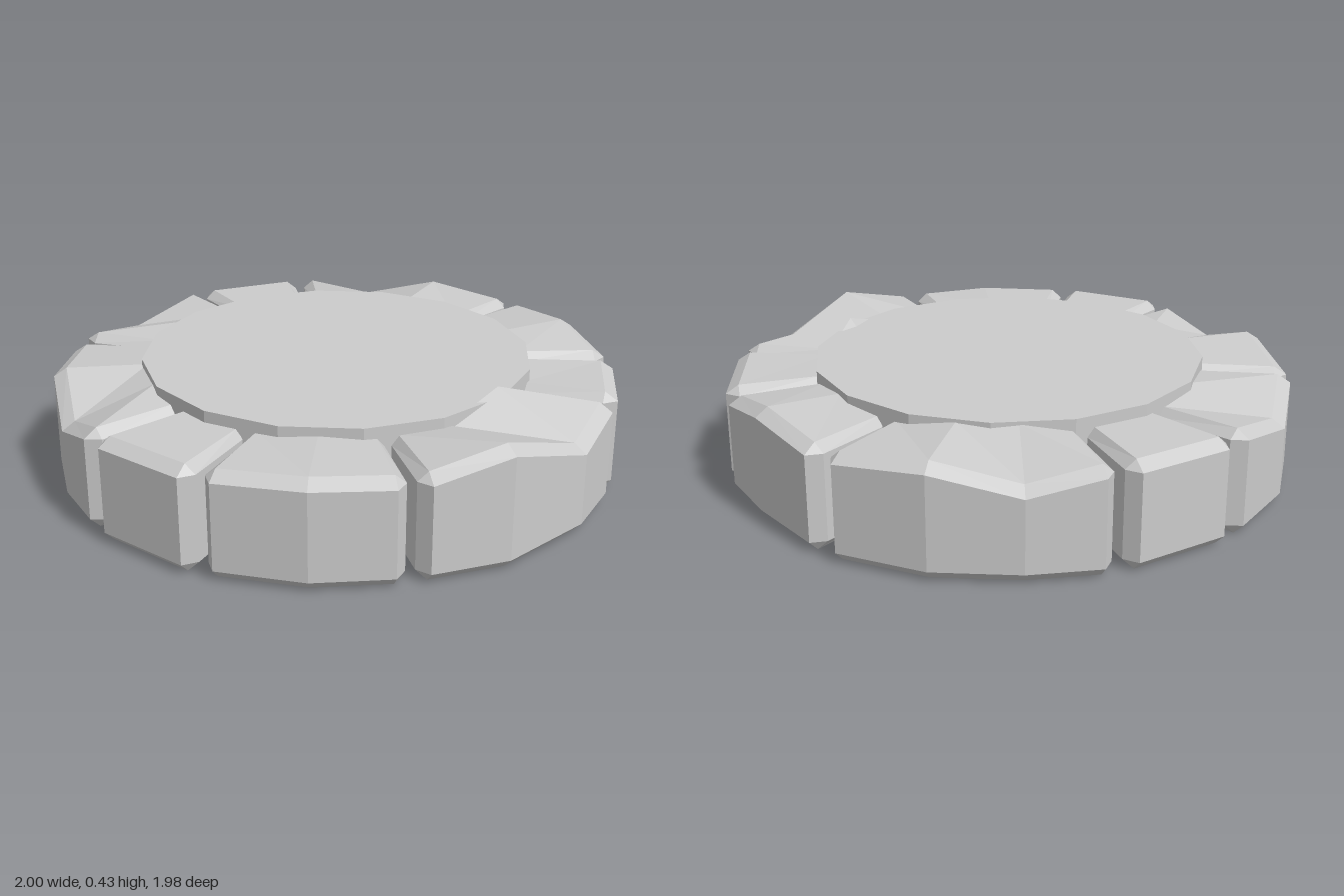
import * as THREE from 'three';

const material = new THREE.MeshStandardMaterial({ color: 0xcccccc, flatShading: true });
const INNER = 0.64, BEVEL = 0.035;

// Bevelled cross-section of a stone as [radius, height] pairs
function section([, outer, yOut, yIn]) {
  return [
    [INNER + BEVEL, 0], [outer - BEVEL, 0],
    [outer, BEVEL], [outer, yOut],
    [outer - 0.045, yOut + 0.03], [INNER + 0.025, yIn],
    [INNER, yIn - 0.03], [INNER, BEVEL],
  ];
}

// Smaller cross-section for the end faces; paired points form the corner bevels
function endSection([, outer, yOut, yIn]) {
  const a = INNER + BEVEL, b = outer - BEVEL - 0.01;
  const corners = [[b, BEVEL], [b, yOut], [a, yIn - 0.03], [a, BEVEL]];
  return [3, 0, 0, 1, 1, 2, 2, 3].map((i) => corners[i]);
}

// Loft a curved stone through its stations: [angle, outer radius, outer height, inner height]
function stoneGeometry(stations) {
  const first = stations[0], last = stations[stations.length - 1];
  const place = (points, degrees) => {
    const t = THREE.MathUtils.degToRad(degrees);
    return points.map(([r, y]) => new THREE.Vector3(r * Math.cos(t), y, r * Math.sin(t)));
  };
  const loops = [
    place(endSection(first), first[0] - 2.2),
    ...stations.map((s) => place(section(s), s[0])),
    place(endSection(last), last[0] + 2.2),
  ];
  const positions = [];
  const triangle = (a, b, c) => {
    const area = b.clone().sub(a).cross(c.clone().sub(a)).length();
    if (area > 1e-7) for (const p of [a, b, c]) positions.push(p.x, p.y, p.z);
  };
  for (let i = 0; i < loops.length - 1; i++) {
    for (let j = 0; j < 8; j++) {
      const k = (j + 1) % 8, A = loops[i], B = loops[i + 1];
      triangle(A[j], A[k], B[k]);
      triangle(A[j], B[k], B[j]);
    }
  }
  const start = loops[0], end = loops[loops.length - 1];
  for (let j = 1; j < 7; j++) {
    triangle(start[0], start[j + 1], start[j]);
    triangle(end[0], end[j], end[j + 1]);
  }
  const geometry = new THREE.BufferGeometry();
  geometry.setAttribute('position', new THREE.Float32BufferAttribute(positions, 3));
  geometry.computeVertexNormals();
  return geometry;
}

// The nine uneven stones, going round from the back
const STONES = [
  [[-78.5, 0.99, 0.33, 0.36], [-61, 0.97, 0.36, 0.38], [-46.3, 0.99, 0.32, 0.36]],
  [[-39.7, 0.99, 0.32, 0.36], [-20.5, 0.99, 0.33, 0.36]],
  [[-14.5, 0.99, 0.33, 0.36], [0, 1.0, 0.28, 0.43], [20, 1.005, 0.385, 0.36], [35.2, 0.98, 0.33, 0.36]],
  [[41.5, 0.98, 0.33, 0.36], [57, 0.99, 0.335, 0.37], [74.3, 0.99, 0.33, 0.36]],
  [[80.3, 1.0, 0.33, 0.36], [99.7, 1.0, 0.33, 0.36]],
  [[106, 0.99, 0.32, 0.36], [119, 0.99, 0.26, 0.38], [135, 0.99, 0.35, 0.38], [154, 0.99, 0.32, 0.36]],
  [[160.5, 0.99, 0.33, 0.36], [177, 1.0, 0.27, 0.38], [194, 0.995, 0.33, 0.36]],
  [[200, 0.995, 0.33, 0.36], [219.3, 0.99, 0.33, 0.36]],
  [[225.8, 0.99, 0.33, 0.36], [240, 0.985, 0.28, 0.39], [257, 0.995, 0.35, 0.39], [275, 0.995, 0.33, 0.36]],
];

export function createModel() {
  const model = new THREE.Group();
  model.name = 'stoneRing';

  // Ring of bevelled stones
  const ring = new THREE.Group();
  ring.name = 'stones';
  STONES.forEach((stations, i) => {
    const stone = new THREE.Mesh(stoneGeometry(stations), material);
    stone.name = `stone${i + 1}`;
    ring.add(stone);
  });
  model.add(ring);

  // Round slab filling the middle
  const slab = new THREE.Mesh(new THREE.CylinderGeometry(0.685, 0.685, 0.26, 16), material);
  slab.name = 'centreSlab';
  slab.position.y = 0.27;
  model.add(slab);

  return model;
}
